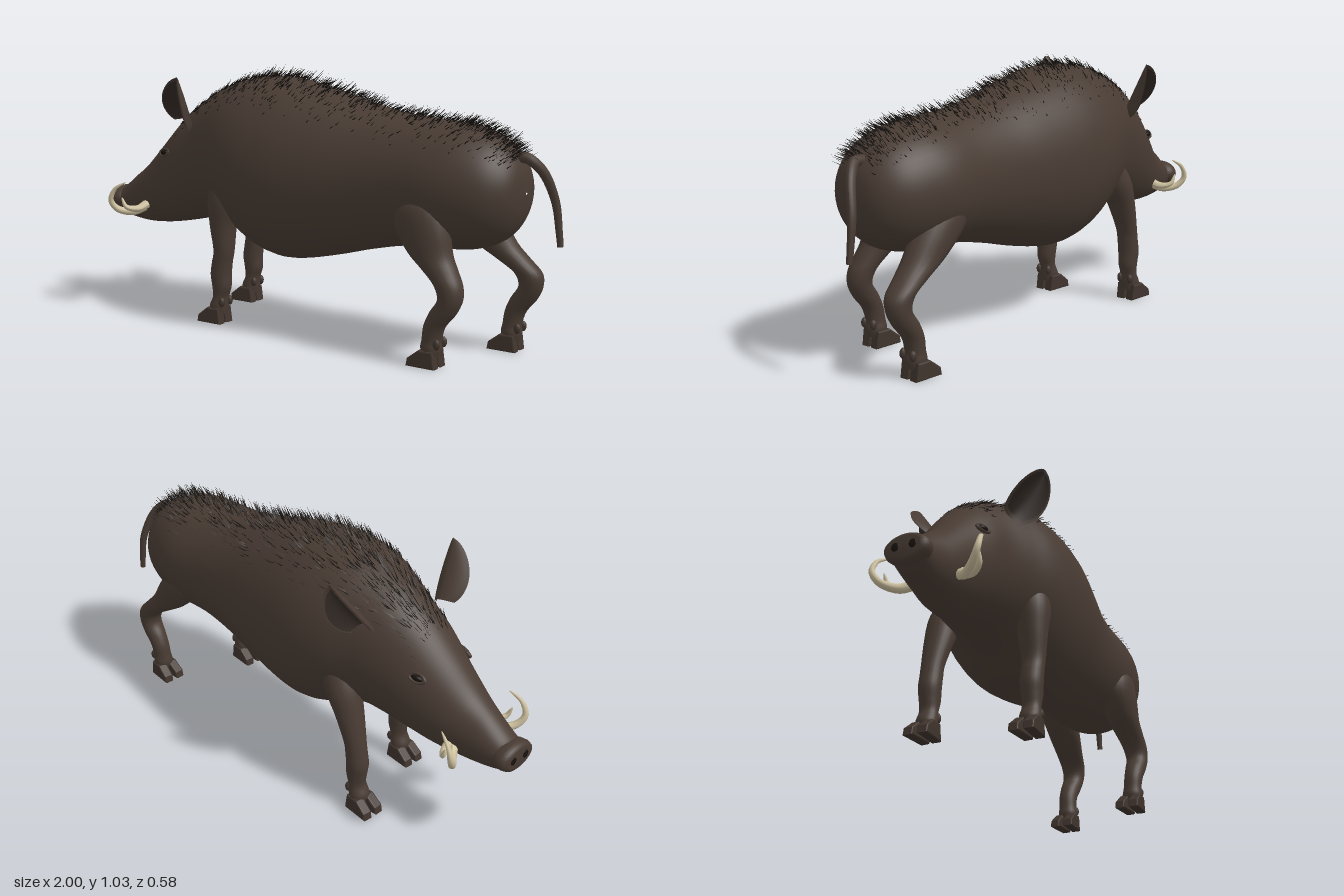
import * as THREE from 'three';

const mat = (name, color, side = THREE.FrontSide) => {
  const m = new THREE.MeshStandardMaterial({ color, side });
  m.name = name;
  return m;
};

// Smooth surface from point(u, v); v may wrap around
function grid(nu, nv, point, wrap = true) {
  const pos = [], idx = [], cols = wrap ? nv : nv + 1;
  for (let i = 0; i <= nu; i++)
    for (let j = 0; j < cols; j++) pos.push(...point(i / nu, j / nv));
  for (let i = 0; i < nu; i++)
    for (let j = 0; j < nv; j++) {
      const k = (j + 1) % cols, a = i * cols, b = a + cols;
      idx.push(a + j, b + j, a + k, b + j, b + k, a + k);
    }
  const g = new THREE.BufferGeometry();
  g.setAttribute('position', new THREE.Float32BufferAttribute(pos, 3));
  g.setIndex(idx);
  g.computeVertexNormals();
  return g;
}

const V = (x, y, z) => new THREE.Vector3(x, y, z);
const smooth = pts => new THREE.CatmullRomCurve3(pts, false, 'catmullrom', 0.5);

// Tube that narrows along its path
function taperTube(pts, radius, n = 28, sides = 12) {
  const path = smooth(pts);
  const g = new THREE.TubeGeometry(path, n, 1, sides);
  const p = g.attributes.position, c = V(0, 0, 0), q = V(0, 0, 0);
  for (let i = 0; i < p.count; i++) {
    const t = Math.floor(i / (sides + 1)) / n;
    path.getPointAt(t, c);
    q.fromBufferAttribute(p, i).sub(c).multiplyScalar(radius(t)).add(c);
    p.setXYZ(i, q.x, q.y, q.z);
  }
  g.computeVertexNormals();
  return g;
}

// Body stations: x, top, bottom, half width, centre z
const BODY = [
  [-0.975, 0.475, 0.385, 0.066, 0.045], [-0.94, 0.492, 0.362, 0.07, 0.045],
  [-0.88, 0.54, 0.348, 0.08, 0.04], [-0.8, 0.6, 0.342, 0.1, 0.035],
  [-0.7, 0.705, 0.348, 0.127, 0.02], [-0.6, 0.805, 0.365, 0.155, 0.01],
  [-0.5, 0.88, 0.385, 0.178, 0], [-0.4, 0.93, 0.388, 0.21, 0],
  [-0.3, 0.965, 0.355, 0.25, 0], [-0.2, 0.98, 0.3, 0.275, 0],
  [-0.1, 0.98, 0.274, 0.28, 0], [0, 0.965, 0.28, 0.273, 0],
  [0.15, 0.928, 0.312, 0.25, -0.005], [0.3, 0.888, 0.352, 0.226, -0.01],
  [0.45, 0.863, 0.382, 0.217, -0.015], [0.6, 0.85, 0.39, 0.224, -0.02],
  [0.7, 0.838, 0.398, 0.212, -0.02], [0.79, 0.805, 0.425, 0.183, -0.02],
  [0.85, 0.758, 0.47, 0.14, -0.02], [0.885, 0.7, 0.535, 0.085, -0.02],
  [0.898, 0.62, 0.612, 0.005, -0.02],
];
const heights = smooth(BODY.map(s => V(s[0], s[1], s[2])));
const widths = smooth(BODY.map(s => V(s[0], s[3], s[4])));
function bodyPoint(t, a) {
  const h = heights.getPoint(t), w = widths.getPoint(t);
  return [h.x, (h.y + h.z) / 2 + (h.y - h.z) / 2 * Math.sin(a), w.z + w.y * Math.cos(a)];
}

// Leg stations: y, x from, x to, z, half depth
const HIND = [
  [0.6, 0.51, 0.65, 0.125, 0.06], [0.55, 0.475, 0.67, 0.133, 0.078], [0.48, 0.48, 0.69, 0.143, 0.073],
  [0.4, 0.535, 0.705, 0.148, 0.064], [0.35, 0.595, 0.73, 0.156, 0.056], [0.3, 0.65, 0.755, 0.164, 0.05],
  [0.25, 0.668, 0.758, 0.168, 0.045], [0.2, 0.637, 0.735, 0.17, 0.042], [0.15, 0.615, 0.695, 0.17, 0.038],
  [0.1, 0.608, 0.68, 0.168, 0.037], [0.07, 0.603, 0.682, 0.167, 0.041], [0.04, 0.61, 0.675, 0.167, 0.036],
];
const FORE = [
  [0.6, -0.36, -0.23, 0.15, 0.06], [0.5, -0.375, -0.235, 0.163, 0.066], [0.4, -0.365, -0.26, 0.166, 0.056],
  [0.3, -0.35, -0.268, 0.168, 0.044], [0.25, -0.36, -0.277, 0.168, 0.042], [0.2, -0.368, -0.283, 0.168, 0.042],
  [0.15, -0.362, -0.283, 0.168, 0.038], [0.11, -0.358, -0.296, 0.168, 0.035],
  [0.07, -0.375, -0.3, 0.168, 0.04], [0.04, -0.37, -0.305, 0.168, 0.036],
];

export function createModel() {
  const model = new THREE.Group();
  const hide = mat('hide brown', 0x483b33);
  const hideThin = mat('ear brown', 0x483b33, THREE.DoubleSide);
  const inner = mat('inner ear brown', 0x342b26, THREE.DoubleSide);
  const hoofMat = mat('hoof brown', 0x40342d);
  const dark = mat('dark', 0x17120f);
  const hair = mat('bristle black', 0x1a1613, THREE.DoubleSide);
  const ivory = mat('ivory', 0xcabd9c);
  const add = (name, geo, material, parent = model) => {
    const m = new THREE.Mesh(geo, material);
    m.name = name;
    parent.add(m);
    return m;
  };

  add('body', grid(110, 48, (u, v) => bodyPoint(u, v * Math.PI * 2)), hide);

  // Snout disc with nostrils
  const rim = [[0, 0.03], [0.7, 0.03], [0.93, 0.023], [1, 0.005], [0.96, -0.02], [0.8, -0.035]];
  const snout = add('snout', new THREE.LatheGeometry(rim.map(p => new THREE.Vector2(...p)).reverse(), 32), hide);
  snout.position.set(-0.968, 0.432, 0.045);
  snout.rotation.z = Math.PI / 2;
  snout.scale.set(0.053, 1, 0.083);
  for (const s of [-1, 1]) {
    const nostril = add('nostril', new THREE.SphereGeometry(1, 14, 10), dark);
    nostril.scale.set(0.003, 0.016, 0.014);
    nostril.position.set(-0.998, 0.435, 0.045 + s * 0.032);
  }

  // Legs; the right pair stands a step apart from the left pair
  const hoofShape = new THREE.Shape();
  [[0, 0.006], [-0.1, 0.006], [-0.096, 0.026], [-0.055, 0.058], [-0.008, 0.058]]
    .forEach((p, i) => i ? hoofShape.lineTo(...p) : hoofShape.moveTo(...p));
  const hoofGeo = new THREE.ExtrudeGeometry(hoofShape, {
    depth: 0.028, bevelSize: 0.006, bevelThickness: 0.006, bevelSegments: 3,
  }).translate(0, 0, -0.014);
  function leg(name, table, side, step, dz) {
    const group = new THREE.Group();
    group.name = name;
    model.add(group);
    const cx = smooth(table.map(s => V((s[1] + s[2]) / 2 + step * THREE.MathUtils.clamp((0.62 - s[0]) / 0.32, 0, 1), s[0], side * s[3] + dz)));
    const rr = smooth(table.map(s => V((s[2] - s[1]) / 2, s[4], 0)));
    add('limb', grid(44, 24, (u, v) => {
      const c = cx.getPoint(u), r = rr.getPoint(u), a = v * Math.PI * 2;
      return [c.x + r.x * Math.cos(a), c.y, c.z - r.y * Math.sin(a)];
    }), hide, group);
    const end = table[table.length - 1];
    for (const s of [-1, 1]) {
      const toe = add('hoof', hoofGeo, hoofMat, group);
      toe.position.set(end[2] + step - 0.006, 0, side * end[3] + dz + s * 0.0225);
      toe.rotation.y = s * 0.06;
      const claw = add('dewclaw', new THREE.SphereGeometry(1, 12, 8), hoofMat, group);
      claw.scale.set(0.014, 0.02, 0.012);
      claw.position.set(end[2] + step, 0.09, side * end[3] + dz + s * 0.024);
    }
  }
  leg('leftHindLeg', HIND, 1, 0, 0);
  leg('rightHindLeg', HIND, -1, 0.135, -0.016);
  leg('leftForeLeg', FORE, 1, 0, 0);
  leg('rightForeLeg', FORE, -1, -0.115, -0.006);

  // Leaf-shaped cupped ears
  const L = V(0.055, 0.18, 0.13), N = V(-0.35, -0.5, 0.8);
  N.addScaledVector(L, -N.dot(L) / L.lengthSq()).normalize();
  const W = L.clone().cross(N).normalize();
  const earGeo = (size, lift) => grid(20, 14, (u, v) => {
    const k = v * 2 - 1, w = 0.152 * size * Math.sqrt(u + 0.12) * Math.pow(1 - u, 0.7);
    return V(0, 0, 0).addScaledVector(L, 0.5 + (u - 0.5) * size).addScaledVector(W, w * k)
      .addScaledVector(N, w * 0.75 * k * k + lift).toArray();
  }, false);
  for (const s of [-1, 1]) {
    const ear = new THREE.Group();
    ear.name = s > 0 ? 'leftEar' : 'rightEar';
    add('earShell', earGeo(1, 0), hideThin, ear);
    add('earInside', earGeo(0.88, 0.008), inner, ear);
    ear.scale.z = s;
    ear.position.set(s > 0 ? -0.495 : -0.445, 0.8, s * 0.15);
    model.add(ear);
  }

  // Eyes with lids
  for (const s of [-1, 1]) {
    const eye = new THREE.Group();
    eye.name = 'eye';
    add('eyeball', new THREE.SphereGeometry(1, 16, 12), dark, eye).scale.set(0.022, 0.011, 0.012);
    add('eyelid', new THREE.TorusGeometry(0.027, 0.007, 8, 24), hide, eye).scale.set(1.1, 0.6, 1);
    const t = 4.5 / (BODY.length - 1), p = bodyPoint(t, s > 0 ? 0.53 : Math.PI - 0.53);
    eye.position.set(p[0], p[1], p[2] + s * 0.002);
    eye.rotation.set(-s * 0.45, s > 0 ? -0.25 : Math.PI + 0.25, 0);
    model.add(eye);
  }

  // Curved lower tusks and short upper tusks
  const tusk = [V(-0.78, 0.42, 0.085), V(-0.81, 0.4, 0.125), V(-0.85, 0.41, 0.17), V(-0.868, 0.45, 0.197), V(-0.845, 0.5, 0.195), V(-0.8, 0.53, 0.178)];
  const shortTusk = [V(-0.77, 0.43, 0.085), V(-0.78, 0.415, 0.13), V(-0.805, 0.425, 0.17), V(-0.822, 0.465, 0.18)];
  for (const s of [-1, 1]) {
    const flip = pts => pts.map(p => V(p.x, p.y, 0.04 + s * p.z));
    add('lowerTusk', taperTube(flip(tusk), t => 0.001 + 0.018 * Math.pow(1 - t, 0.6)), ivory);
    add('upperTusk', taperTube(flip(shortTusk), t => 0.001 + 0.018 * Math.pow(1 - t, 0.6)), ivory);
  }

  // Tail
  add('tail', taperTube([V(0.85, 0.735, -0.03), V(0.895, 0.735, -0.035), V(0.94, 0.68, -0.07), V(0.968, 0.58, -0.105), V(0.982, 0.48, -0.11), V(0.989, 0.425, -0.11)],
    t => 0.021 - 0.01 * t), hide);

  // Bristles along the spine, swept back
  let seed = 7;
  const rnd = () => (seed = (seed * 16807) % 2147483647) / 2147483647;
  const pos = [];
  for (let i = 0; i < 1500; i++) {
    const t = 0.24 + 0.68 * rnd(), off = (rnd() + rnd() - 1) * 0.95;
    const p = V(...bodyPoint(t, Math.PI / 2 + off));
    const len = (0.035 + 0.04 * rnd()) * (1 - 0.4 * Math.abs(off));
    const crest = 0.35 + 0.75 * rnd() * (1 - Math.abs(off));
    const dir = V(0.85, crest, -Math.sin(off) * 0.75 + (rnd() - 0.5) * 0.3).normalize();
    const wide = V(rnd() - 0.5, rnd() - 0.5, rnd() - 0.5).cross(dir).normalize().multiplyScalar(0.0025);
    p.addScaledVector(dir, -0.006);
    const tip = p.clone().addScaledVector(dir, len);
    pos.push(...p.clone().add(wide).toArray(), ...p.clone().sub(wide).toArray(), ...tip.toArray());
  }
  const bristles = new THREE.BufferGeometry();
  bristles.setAttribute('position', new THREE.Float32BufferAttribute(pos, 3));
  bristles.computeVertexNormals();
  add('bristles', bristles, hair);

  return model;
}
